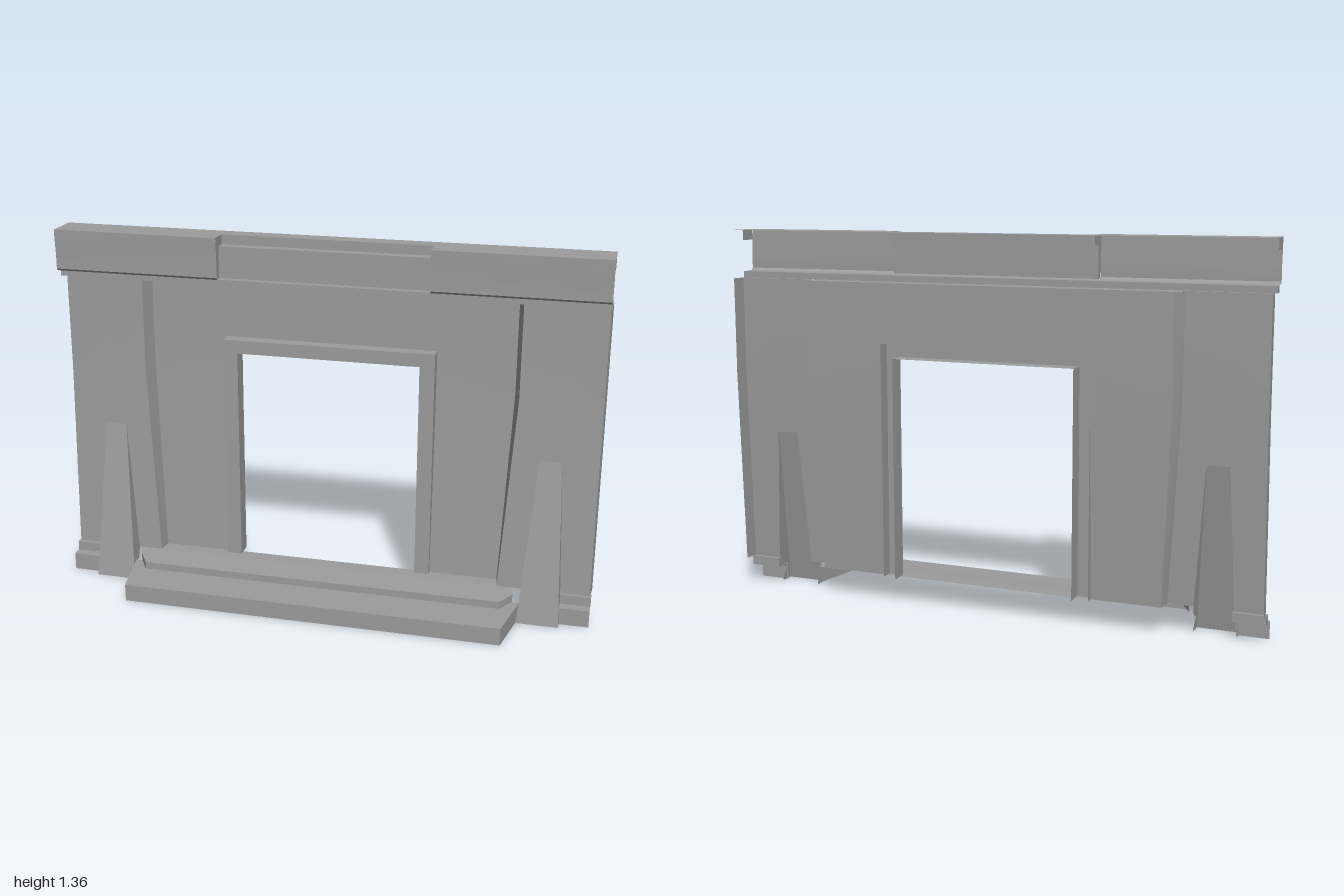
import * as THREE from 'three';
import { toCreasedNormals } from 'three/addons/utils/BufferGeometryUtils.js';

const material = new THREE.MeshStandardMaterial({ color: 0x9c9c9c, side: THREE.DoubleSide });

// Open surface spanned between rows of points
function sheet(group, name, rows) {
  const pos = [];
  for (let i = 0; i + 1 < rows.length; i++) {
    for (let j = 0; j + 1 < rows[i].length; j++) {
      const a = rows[i][j], b = rows[i + 1][j], c = rows[i + 1][j + 1], d = rows[i][j + 1];
      pos.push(...a, ...b, ...c, ...a, ...c, ...d);
    }
  }
  const geo = new THREE.BufferGeometry();
  geo.setAttribute('position', new THREE.Float32BufferAttribute(pos, 3));
  const mesh = new THREE.Mesh(toCreasedNormals(geo, 0.5), material);
  mesh.name = name;
  group.add(mesh);
}

function box(group, name, x0, x1, y0, y1, z0, z1) {
  const mesh = new THREE.Mesh(new THREE.BoxGeometry(Math.abs(x1 - x0), y1 - y0, z1 - z0), material);
  mesh.position.set((x0 + x1) / 2, (y0 + y1) / 2, (z0 + z1) / 2);
  mesh.name = name;
  group.add(mesh);
}

// A [y, z] profile drawn straight along x
const strip = (group, name, x0, x1, profile) =>
  sheet(group, name, profile.map(([y, z]) => [[x0, y, z], [x1, y, z]]));

const lerp = THREE.MathUtils.lerp;
const TOP = 1.177;
// The wall is upright above y = 0.82 and leans forward below it
const lean = y => Math.max(0, (0.82 - y) / 0.72);
const panelZ = y => -0.11 + 0.027 * lean(y);
const backZ = y => -0.165 + 0.028 * lean(y);
const panelX = y => 0.70 - 0.045 * lean(y);
const backX = y => 0.68 - 0.032 * lean(y);
// Buttress edges
const buttOut = y => lerp(0.893, 0.865, y / 0.6);
const buttIn = y => lerp(0.74, 0.785, y / 0.6);
const buttFront = y => lerp(0, -0.1, y / 0.6);

export function createModel() {
  const model = new THREE.Group();
  model.name = 'wallSection';

  // Recessed middle wall around the doorway
  sheet(model, 'middleWallTop', [TOP, 0.96].map(y => [-1, 1].map(s => [s * backX(y), y, backZ(y)])));

  for (const s of [-1, 1]) {
    const side = new THREE.Group();
    side.name = s > 0 ? 'leftSide' : 'rightSide';
    model.add(side);
    const p = (x, y, z) => [s * x, y, z];

    sheet(side, 'middleWall', [0.96, 0.82, 0.1].map(y => [p(0.395, y, backZ(y)), p(backX(y), y, backZ(y))]));

    // Forward side panel, open behind the buttress, with returns at both edges
    sheet(side, 'sidePanelTop', [TOP, 0.82, 0.6].map(y => [
      p(panelX(y), y, panelZ(y)), p(buttIn(0.6), y, panelZ(y)), p(buttOut(0.6), y, panelZ(y)), p(0.995, y, panelZ(y))]));
    sheet(side, 'sidePanelInner', [0.6, 0.1].map(y => [p(panelX(y), y, panelZ(y)), p(buttIn(y), y, panelZ(y))]));
    sheet(side, 'sidePanelOuter', [0.6, 0.1].map(y => [p(buttOut(y), y, panelZ(y)), p(0.995, y, panelZ(y))]));
    sheet(side, 'innerReturn', [TOP, 0.82, 0.1].map(y => [p(panelX(y), y, panelZ(y)), p(backX(y), y, backZ(y))]));
    sheet(side, 'endReturn', [TOP, 0.82, 0.1].map(y => [p(0.995, y, panelZ(y)), p(1, y, backZ(y))]));

    // Hollow sloping buttress, notched at the back over the skirt
    const butt = [[0.6, -0.104], [0.1, -0.083], [0.065, -0.068], [0.05, -0.03], [0, -0.055]];
    sheet(side, 'buttress', butt.map(([y, zb]) => [
      p(buttOut(y), y, zb), p(buttOut(y), y, buttFront(y)), p(buttIn(y), y, buttFront(y)), p(buttIn(y), y, zb)]));
    sheet(side, 'buttressCap', [-0.104, -0.1].map(z => [p(buttOut(0.6), 0.6, z), p(buttIn(0.6), 0.6, z)]));

    // Base trim and skirt
    box(side, 'baseTrim', s * 0.885, s * 1, 0.065, 0.1, -0.097, -0.068);
    strip(side, 'skirt', s * 0.885, s, [[0.065, -0.068], [0.065, -0.03], [0, -0.03]]);

    // Header: top plate, gently bowed front, underside and small end cap
    strip(side, 'header', s * 0.385, s, [
      [1.355, -0.165], [1.355, -0.032], [1.315, -0.033], [1.26, -0.037], [1.21, -0.036], [1.202, -0.044], [1.2, -0.068]]);
    sheet(side, 'headerEnd', [1.355, 1.315].map(y => [p(1, y, -0.097), p(1, y, -0.033)]));
    // Stepped cheek beside the header recess
    sheet(side, 'recessCheek', [[1.355, -0.103, -0.032], [1.32, -0.103, -0.033]].map(([y, a, b]) => [p(0.385, y, a), p(0.385, y, b)]));
    sheet(side, 'recessCheek', [[1.32, -0.065, -0.033], [1.26, -0.065, -0.037], [1.205, -0.065, -0.038]]
      .map(([y, a, b]) => [p(0.385, y, a), p(0.385, y, b)]));

    // Soffit closing the gap above the side panel
    strip(side, 'sideSoffit', s * 0.69, s, [[TOP, -0.097], [TOP, -0.11]]);
  }

  // Recessed centre of the header, trim and soffit below it
  strip(model, 'headerCentre', -0.385, 0.385, [
    [1.355, -0.165], [1.355, -0.103], [1.32, -0.103], [1.32, -0.065], [1.205, -0.065], [1.205, -0.038], [1.2, -0.068]]);
  box(model, 'headerTrim', -1, 1, TOP, 1.2, -0.097, -0.068);
  strip(model, 'middleSoffit', -0.69, 0.69, [[TOP, -0.097], [TOP, -0.165]]);

  // Door frame: outer edge, front face and reveal
  const section = [[0.395, 0.96, -0.165], [0.395, 0.96, -0.118], [0.34, 0.91, -0.118], [0.34, 0.91, -0.182]];
  sheet(model, 'doorFrame', section.map(([x, y, z]) => [[-x, 0.1, z], [-x, y, z], [x, y, z], [x, 0.1, z]]));

  // Upper landing: half width, height, z
  const landing = [[0.65, 0.1, -0.14], [0.65, 0.1, -0.085], [0.71, 0.1, -0.083], [0.72, 0.097, -0.035], [0.68, 0.092, 0.03]];
  sheet(model, 'landing', landing.map(([x, y, z]) => [[-x, y, z], [x, y, z]]));

  // Risers and lower step with slanted ends: height, back height, back x, back z, front x, front z
  const steps = [
    [0.092, 0.097, 0.72, -0.035, 0.68, 0.03],
    [0.065, 0.065, 0.72, -0.035, 0.68, 0.03],
    [0.065, 0.065, 0.745, -0.035, 0.705, 0.182],
    [0, 0, 0.745, -0.035, 0.705, 0.182],
  ];
  sheet(model, 'steps', steps.map(([y, by, bx, bz, fx, fz]) => [[-bx, by, bz], [-fx, y, fz], [fx, y, fz], [bx, by, bz]]));

  return model;
}
